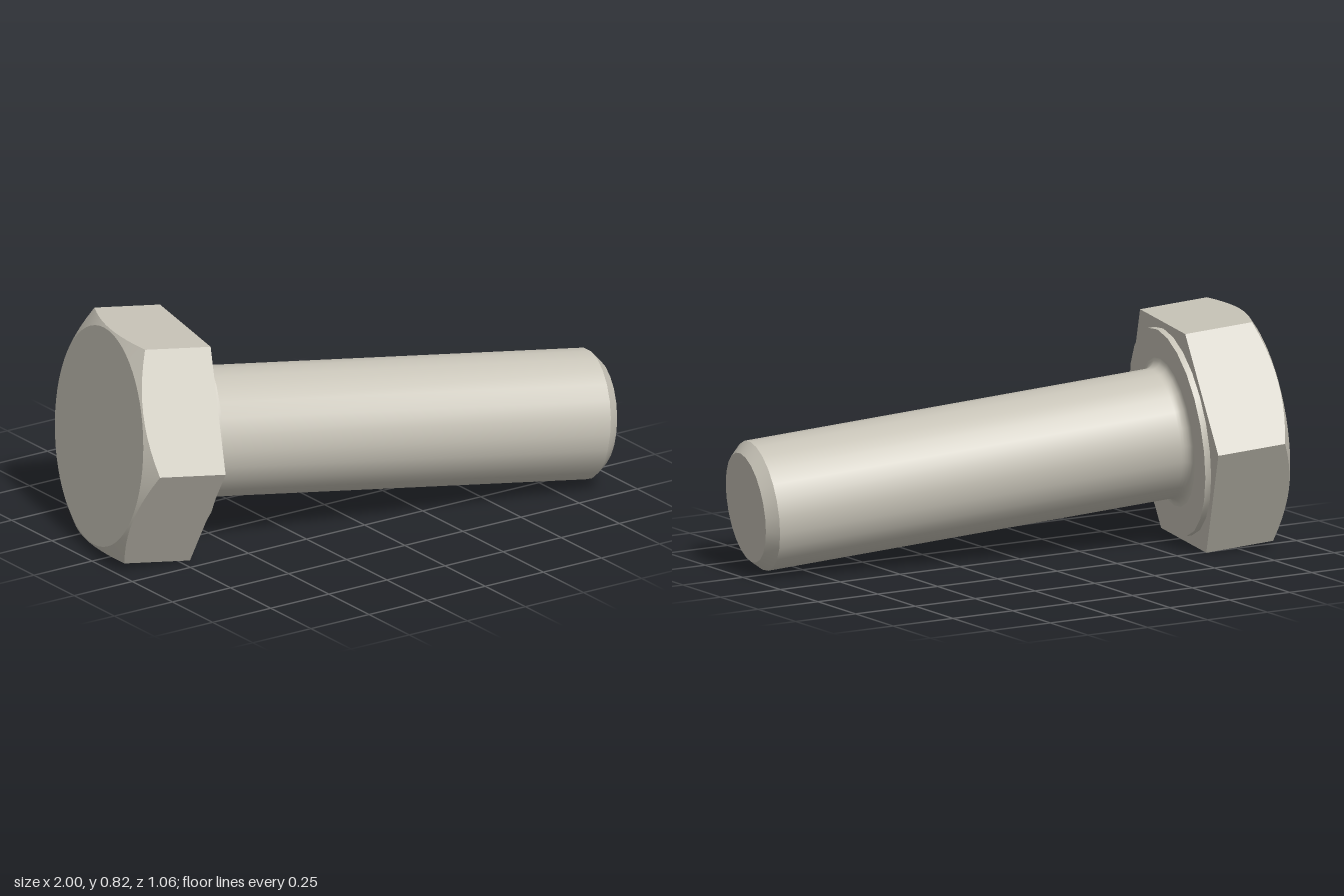
import * as THREE from 'three';
import { toCreasedNormals } from 'three/addons/utils/BufferGeometryUtils.js';

const steel = new THREE.MeshStandardMaterial({ color: 0xc8c4b8 });
steel.name = 'steel';

const HEAD = { apothem: 0.4, faceRadius: 0.393, height: 0.293 };
const WASHER = { radius: 0.375, thickness: 0.022 };
const SHAFT = { radius: 0.234, tipRadius: 0.198, length: 1.62, chamfer: 0.04, fillet: 0.035 };

const lathe = (pts, segments) =>
  new THREE.LatheGeometry(pts.map(([x, y]) => new THREE.Vector2(x, y)), segments);

function part(name, geometry, crease) {
  const mesh = new THREE.Mesh(toCreasedNormals(geometry, crease), steel);
  mesh.name = name;
  return mesh;
}

// Hexagonal head: a turned blank whose outer rings are pushed onto six flats,
// with the top edge following a 30 degree chamfer cone.
function hexHead() {
  const { apothem, faceRadius, height } = HEAD;
  const geo = lathe([[0, -height], [faceRadius, -height], [apothem, -height / 2], [apothem, 0], [0, 0]], 60);
  const pos = geo.attributes.position;
  const sector = Math.PI / 3;
  for (let i = 0; i < pos.count; i++) {
    const ring = i % 5;
    if (ring !== 2 && ring !== 3) continue;
    const a = Math.floor(i / 5) * Math.PI * 2 / 60;
    const r = apothem / Math.cos((a % sector) - sector / 2);
    const y = ring === 2 ? -height + (r - faceRadius) * Math.tan(Math.PI / 6) : 0;
    pos.setXYZ(i, r * Math.sin(a), y, r * Math.cos(a));
  }
  return part('hexHead', geo, 0.4);
}

// Thin round bearing face under the head
function washerFace() {
  const { radius, thickness } = WASHER;
  return part('washerFace', lathe([[radius, 0], [radius, thickness], [SHAFT.radius + SHAFT.fillet, thickness]], 24), 0.5);
}

// Shank with a rounded root fillet and a chamfered tip
function shank() {
  const { radius, tipRadius, length, chamfer, fillet } = SHAFT;
  const pts = [];
  for (let i = 0; i <= 5; i++) {
    const t = i / 5 * Math.PI / 2;
    pts.push([radius + fillet * (1 - Math.sin(t)), WASHER.thickness + fillet * (1 - Math.cos(t))]);
  }
  pts.push([radius, length - chamfer], [tipRadius, length], [0, length]);
  return part('shank', lathe(pts, 24), 0.5);
}

export function createModel() {
  const bolt = new THREE.Group();
  bolt.name = 'bolt';
  bolt.add(hexHead(), washerFace(), shank());

  // Lay the bolt down: local y runs along the shank, two head corners stay level
  const axis = new THREE.Vector3(1, -0.102, 0.21).normalize();
  const corner = new THREE.Vector3(-axis.z, 0, axis.x).normalize();
  const side = new THREE.Vector3().crossVectors(axis, corner);
  bolt.quaternion.setFromRotationMatrix(new THREE.Matrix4().makeBasis(side, axis, corner));
  bolt.position.set(-0.625, 0.4, -0.026);

  const model = new THREE.Group();
  model.name = 'hexBolt';
  model.add(bolt);
  return model;
}
